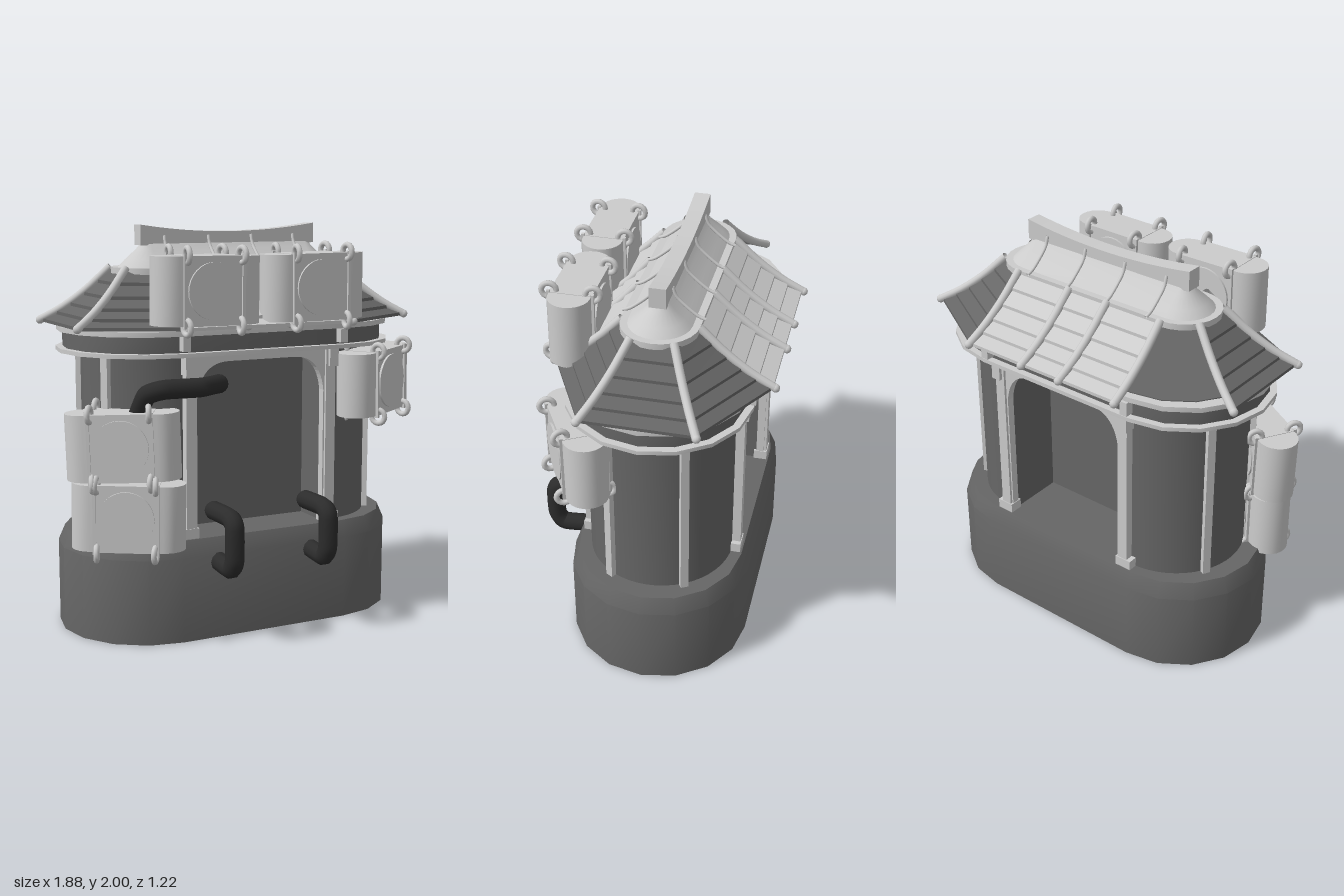
import * as THREE from 'three';
import { toCreasedNormals } from 'three/addons/utils/BufferGeometryUtils.js';

const mat = (color) => new THREE.MeshStandardMaterial({ color, side: THREE.DoubleSide });
const light = mat(0xcccccc), dark = mat(0x666666), black = mat(0x2c2c2c);

function add(parent, name, geometry, material, x = 0, y = 0, z = 0) {
  const mesh = new THREE.Mesh(geometry, material);
  mesh.name = name;
  mesh.position.set(x, y, z);
  parent.add(mesh);
  return mesh;
}

const v = (x, y, z) => new THREE.Vector3(x, y, z);
const tube = (points, r, tension = 0.2, n = 32) => new THREE.TubeGeometry(
  new THREE.CatmullRomCurve3(points, false, 'catmullrom', tension), n, r, 10);

// Stacked rounded-end outlines; each ring is [height, half straight length, end radius]
function loft(rings, seg = 8) {
  const pos = [], idx = [], n = 2 * (seg + 1);
  for (const [y, half, r] of rings) {
    for (let side = 0; side < 2; side++) {
      for (let k = 0; k <= seg; k++) {
        const a = -Math.PI / 2 + side * Math.PI + (k / seg) * Math.PI;
        pos.push((side ? -half : half) + r * Math.cos(a), y, r * Math.sin(a));
      }
    }
  }
  for (let i = 0; i < rings.length - 1; i++) {
    for (let j = 0; j < n; j++) {
      const a = i * n + j, b = i * n + (j + 1) % n;
      idx.push(a, a + n, b, b, a + n, b + n);
    }
  }
  const g = new THREE.BufferGeometry();
  g.setAttribute('position', new THREE.Float32BufferAttribute(pos, 3));
  g.setIndex(idx);
  return toCreasedNormals(g, 0.5);
}
const slab = (y0, y1, half, r, seg) =>
  loft([[y0, half, 0], [y0, half, r], [y1, half, r], [y1, half, 0]], seg);

// Drum-shaped box with front plate, disc, straps and corner rings
function makeBox(name, x, y, z, yaw, roll) {
  const g = new THREE.Group();
  g.name = name;
  add(g, 'boxBody', slab(-0.16, 0.16, 0.175, 0.1, 12), light);
  add(g, 'boxPlate', new THREE.BoxGeometry(0.31, 0.325, 0.206), light);
  for (const s of [-1, 1]) {
    add(g, 'boxDisc', new THREE.CylinderGeometry(0.135, 0.135, 0.015, 32), light, 0, 0, s * 0.106)
      .rotation.x = Math.PI / 2;
    for (const t of [-1, 1]) {
      add(g, 'strap', new THREE.BoxGeometry(0.016, 0.34, 0.016), light, s * 0.15, 0, t * 0.105);
      for (const u of [-1, 1]) {
        const ring = add(g, 'cornerRing', new THREE.TorusGeometry(0.035, 0.014, 8, 16),
          light, s * 0.14, u * 0.165, t * 0.105);
        ring.rotation.y = Math.PI / 2 + s * u * 0.12;
      }
    }
  }
  g.position.set(x, y, z);
  g.rotation.set(0, yaw, roll);
  return g;
}

// Overlapping plank rows between two roof edges
function makePlanks(edgeA, edgeB, rows = 5) {
  const pos = [], idx = [];
  for (let r = 0; r < rows; r++) {
    const t0 = r / rows, t1 = (r + 1) / rows, start = pos.length / 3;
    for (const [t, lift] of [[t0, 0], [t1, 0.016], [t1, 0]]) {
      for (const edge of [edgeA, edgeB]) {
        const p = edge(t);
        pos.push(p.x, p.y + lift, p.z);
      }
    }
    for (const k of [0, 2]) {
      const a = start + k;
      idx.push(a, a + 2, a + 1, a + 1, a + 2, a + 3);
    }
  }
  const g = new THREE.BufferGeometry();
  g.setAttribute('position', new THREE.Float32BufferAttribute(pos, 3));
  g.setIndex(idx);
  return toCreasedNormals(g, 0.3);
}

function makeRoof() {
  const roof = new THREE.Group();
  roof.name = 'roof';
  const outer = [[0.445, 0.5], [0.895, 0.265], [0.895, -0.265], [0.445, -0.53],
    [-0.445, -0.53], [-0.895, -0.265], [-0.895, 0.265], [-0.445, 0.5]];
  const edge = ([x, z], [ix, iz]) => (t) => v(ix + (x - ix) * t,
    1.78 - 0.26 * t - 0.025 * Math.sin(Math.PI * t), iz + (z - iz) * t);
  const edges = outer.map((o) => edge(o, Math.abs(o[0]) < 0.6
    ? [Math.sign(o[0]) * 0.43, Math.sign(o[1]) * 0.18]
    : [Math.sign(o[0]) * 0.59, Math.sign(o[1]) * 0.1]));
  // One back corner is left open
  edges.forEach((e, i) => {
    if (i !== 4) {
      add(roof, 'roofPlanks', makePlanks(e, edges[(i + 1) % 8]), i === 3 || i === 7 ? light : dark);
    }
  });
  // Hip poles and rafters
  const rafters = [-0.12, 0.11].flatMap((x) => [edge([x, -0.53], [x, -0.18]), edge([x, 0.47], [x, 0.18])]);
  for (const e of [...edges, ...rafters]) {
    const pts = [0, 0.35, 0.7, 1.03].map((t) => e(t).add(v(0, 0.015, 0)));
    add(roof, 'roofPole', tube(pts, 0.02, 0.5, 10), light);
    const tip = e(1.03);
    add(roof, 'poleEnd', new THREE.SphereGeometry(0.021, 10, 8), light, tip.x, tip.y + 0.015, tip.z);
  }
  // Upper cap with ribs
  add(roof, 'roofCapLip', slab(1.765, 1.795, 0.43, 0.185, 12), light);
  add(roof, 'roofCap', loft([[1.79, 0.43, 0.155], [1.83, 0.43, 0.115],
    [1.88, 0.43, 0.06], [1.92, 0.43, 0.03], [1.92, 0.43, 0]], 12), light);
  for (const x of [-0.36, -0.12, 0.12, 0.36]) {
    for (const s of [-1, 1]) {
      add(roof, 'capRib', tube([v(x, 1.795, s * 0.195), v(x, 1.815, s * 0.15),
        v(x, 1.89, s * 0.065), v(x, 1.945, s * 0.042)], 0.008, 0.5, 10), light);
    }
  }
  // Sagging ridge beam
  const ridge = new THREE.Shape();
  ridge.moveTo(-0.485, 1.9);
  ridge.quadraticCurveTo(0, 1.86, 0.485, 1.9);
  ridge.lineTo(0.485, 2);
  ridge.quadraticCurveTo(0, 1.925, -0.485, 2);
  add(roof, 'ridgeBeam', new THREE.ExtrudeGeometry(ridge, { depth: 0.08, bevelEnabled: false }),
    light, 0, 0, -0.04);
  return roof;
}

export function createModel() {
  const model = new THREE.Group();
  model.name = 'shrine';
  const house = new THREE.Group();
  house.name = 'house';
  house.position.set(0.01, 0, -0.06);
  model.add(house);

  // Plinth
  add(house, 'plinth', loft([[0, 0.45, 0], [0, 0.45, 0.45], [0.42, 0.45, 0.45],
    [0.5, 0.45, 0.415], [0.5, 0.45, 0]]), dark);

  // Rounded end walls and recessed middle wall
  const endShape = new THREE.Shape();
  endShape.moveTo(0.36, -0.36);
  endShape.lineTo(0.41, -0.36);
  endShape.absarc(0.41, 0, 0.36, -Math.PI / 2, Math.PI / 2);
  endShape.lineTo(0.36, 0.36);
  const endWall = toCreasedNormals(new THREE.ExtrudeGeometry(endShape,
    { depth: 0.92, bevelEnabled: false, curveSegments: 12 }).rotateX(-Math.PI / 2), 0.5);
  for (const yaw of [0, Math.PI]) add(house, 'endWall', endWall, dark, 0, 0.49, 0).rotation.y = yaw;
  add(house, 'recessedWall', new THREE.BoxGeometry(0.74, 0.92, 0.22), dark, 0, 0.95, 0.05);

  // Arched frames, front and back
  const arch = new THREE.Shape();
  arch.moveTo(-0.37, 0.5);
  arch.lineTo(-0.37, 1.4);
  arch.lineTo(0.37, 1.4);
  arch.lineTo(0.37, 0.5);
  arch.lineTo(0.35, 0.5);
  arch.lineTo(0.35, 1.18);
  arch.quadraticCurveTo(0.33, 1.355, 0.18, 1.355);
  arch.lineTo(-0.18, 1.355);
  arch.quadraticCurveTo(-0.33, 1.355, -0.35, 1.18);
  arch.lineTo(-0.35, 0.5);
  const archGeo = new THREE.ExtrudeGeometry(arch, { depth: 0.04, bevelEnabled: false });
  for (const s of [-1, 1]) {
    add(house, 'archFrame', archGeo, light, 0, 0, s * 0.37 - 0.02);
    for (const t of [-1, 1]) {
      add(house, 'doorPost', new THREE.BoxGeometry(0.055, 0.9, 0.05), light, t * 0.385, 0.95, s * 0.378);
      add(house, 'postFoot', new THREE.BoxGeometry(0.09, 0.05, 0.07), light, t * 0.392, 0.525, s * 0.372);
      add(house, 'postCapital', new THREE.BoxGeometry(0.05, 0.1, 0.08), light, t * 0.395, 1.35, s * 0.38);
      add(house, 'eavesBlock', new THREE.BoxGeometry(0.04, 0.07, 0.05), light, t * 0.43, 1.455, s * 0.43);
      add(house, 'endPost', new THREE.BoxGeometry(0.04, 0.9, 0.04), light, t * 0.73, 0.95, s * 0.18)
        .rotation.y = -t * s * Math.PI / 6;
    }
  }

  // Eaves
  add(house, 'lowerEaves', slab(1.39, 1.41, 0.45, 0.445), light);
  add(house, 'eavesBand', slab(1.41, 1.495, 0.45, 0.41), dark);
  add(house, 'upperEaves', slab(1.49, 1.515, 0.45, 0.44), light);
  add(house, 'eavesDeck', slab(1.5, 1.52, 0.43, 0.4), dark);
  house.add(makeRoof());

  // Hanging boxes
  model.add(
    makeBox('leftRoofBox', 0.26, 1.705, 0.37, 0, 0.01),
    makeBox('rightRoofBox', -0.315, 1.705, 0.37, 0, -0.01),
    makeBox('leftWallBox', 0.68, 1.21, 0.285, Math.PI / 6, 0.03),
    makeBox('rightUpperBox', -0.69, 0.975, 0.25, -Math.PI / 6, 0.03),
    makeBox('rightLowerBox', -0.67, 0.635, 0.26, -Math.PI / 6, -0.01));

  // Bent rod handles with rounded ends
  const handle = (name, pts) => {
    add(model, name, tube(pts, 0.047, 0.3, 40), black);
    for (const p of [pts[0], pts[pts.length - 1]]) {
      add(model, name + 'End', new THREE.SphereGeometry(0.047, 12, 8), black, p.x, p.y, p.z);
    }
  };
  for (const x of [-0.25, 0.265]) {
    handle('frontHandle', [v(x, 0.625, 0.33), v(x, 0.625, 0.5), v(x, 0.59, 0.55),
      v(x, 0.43, 0.55), v(x, 0.375, 0.51), v(x, 0.385, 0.37)]);
  }
  handle('upperHandle', [v(-0.23, 1.25, 0.34), v(-0.36, 1.25, 0.41), v(-0.54, 1.25, 0.4),
    v(-0.61, 1.22, 0.35), v(-0.63, 1.11, 0.28)]);
  return model;
}
